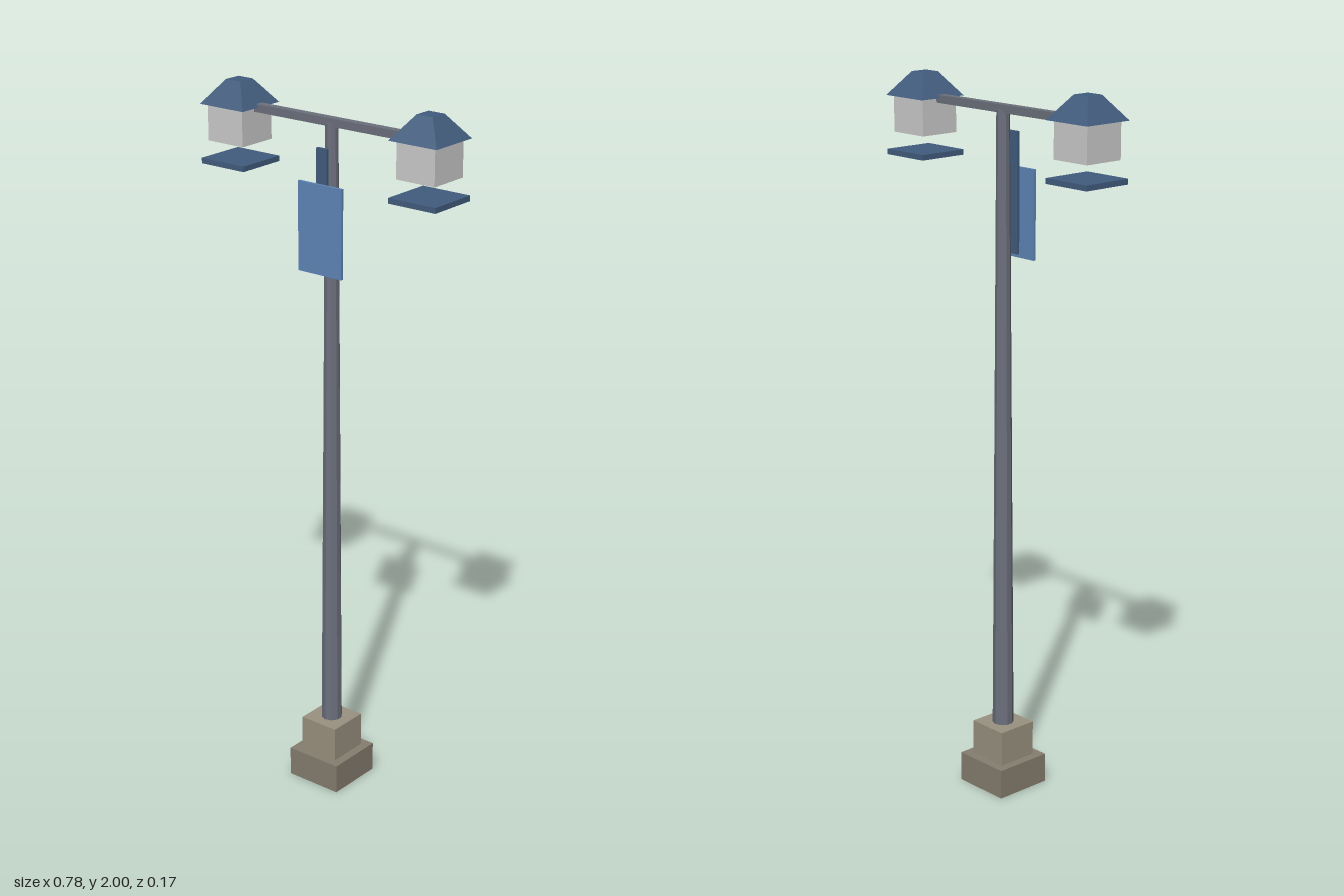
import * as THREE from 'three';

const mat = (color) => new THREE.MeshStandardMaterial({ color, flatShading: true });
const stoneDark = mat(0x857d6f), stone = mat(0x99917f), steel = mat(0x6c707c);
const navy = mat(0x425c7d), blue = mat(0x5f86b8), glass = mat(0xcccccc);

function add(parent, name, geometry, material, x, y, z) {
  const mesh = new THREE.Mesh(geometry, material);
  mesh.name = name;
  mesh.position.set(x, y, z);
  parent.add(mesh);
  return mesh;
}

// Box given by its bottom and top heights
function block(parent, name, material, w, y0, y1, d, x = 0, z = 0) {
  return add(parent, name, new THREE.BoxGeometry(w, y1 - y0, d), material, x, (y0 + y1) / 2, z);
}

// Lantern: glass box, cut-off pyramid roof and separate plate below
function makeLantern(x) {
  const lantern = new THREE.Group();
  lantern.name = x > 0 ? 'leftLantern' : 'rightLantern';
  lantern.position.x = x;
  block(lantern, 'lampGlass', glass, 0.12, 1.835, 1.937, 0.12);
  const roof = new THREE.CylinderGeometry(0.025 * Math.SQRT2, 0.075 * Math.SQRT2, 0.065, 4);
  roof.rotateY(Math.PI / 4);
  add(lantern, 'lampRoof', roof, navy, 0, 1.9675, 0);
  block(lantern, 'lampPlate', navy, 0.148, 1.773, 1.788, 0.148);
  return lantern;
}

export function createModel() {
  const model = new THREE.Group();
  model.name = 'streetLamp';

  // Stepped stone base
  block(model, 'lowerBase', stoneDark, 0.17, 0, 0.085, 0.17);
  block(model, 'upperBase', stone, 0.12, 0.085, 0.185, 0.12);

  // Tapered pole and cross arm
  add(model, 'pole', new THREE.CylinderGeometry(0.018, 0.03, 1.745, 10), steel, 0, 1.0575, 0);
  block(model, 'crossArm', steel, 0.56, 1.922, 1.944, 0.023);

  // Hanging sign with its backing strip
  block(model, 'signStrip', navy, 0.034, 1.54, 1.87, 0.009, 0, 0.039);
  block(model, 'signPanel', blue, 0.145, 1.53, 1.775, 0.008, 0, 0.047);

  // Lanterns at both arm ends
  for (const side of [-1, 1]) model.add(makeLantern(side * 0.315));
  return model;
}
